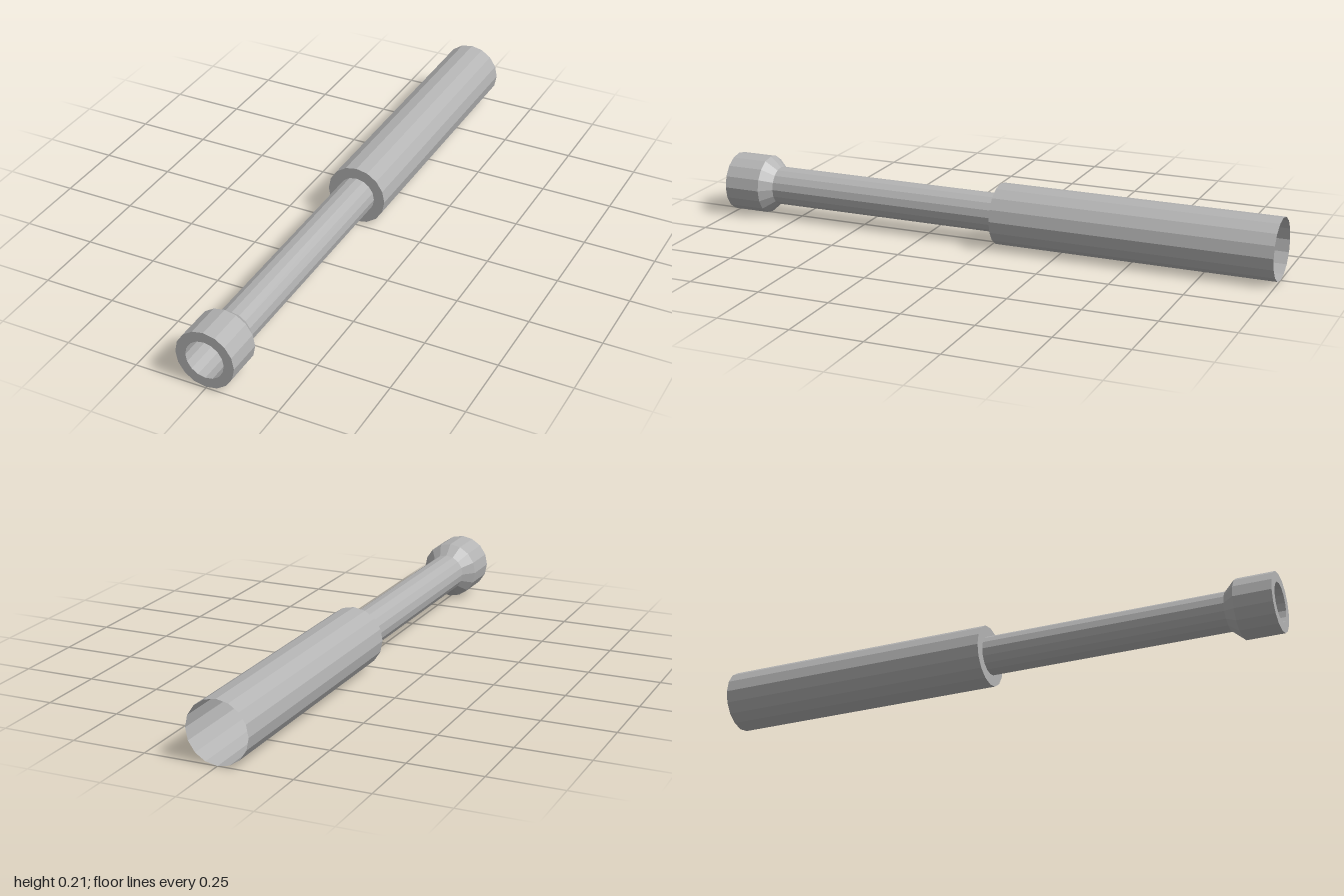
import * as THREE from 'three';

const SIDES = 16;
const CENTRE_Y = 0.106;
const SLEEVE_R = 0.106, HEAD_R = 0.102, ROD_R = 0.067;

export function createModel() {
  const group = new THREE.Group();
  const metal = new THREE.MeshStandardMaterial({ color: 0xb3b3b3 });
  metal.name = 'grey metal';
  metal.flatShading = true;
  metal.side = THREE.DoubleSide;

  // Turns a profile of [radius, z] points about the long axis
  const turned = (name, profile) => {
    const points = profile.map(([r, z]) => new THREE.Vector2(r, z));
    const geometry = new THREE.LatheGeometry(points, SIDES).rotateX(Math.PI / 2);
    const mesh = new THREE.Mesh(geometry, metal);
    mesh.name = name;
    mesh.position.y = CENTRE_Y;
    group.add(mesh);
  };

  // Hollow rear sleeve, open at the back with a shoulder at the front
  turned('sleeve', [[SLEEVE_R, -1], [SLEEVE_R, -0.02], [ROD_R, -0.02]]);

  // Slim rod between the sleeve and the head
  turned('rod', [[ROD_R, -0.02], [ROD_R, 0.83]]);

  // Tapered head, flat front rim
  turned('head', [[ROD_R, 0.83], [HEAD_R, 0.87], [HEAD_R, 1], [ROD_R, 1]]);

  // Blind bore in the head
  turned('bore', [[ROD_R, 1], [ROD_R, 0.87]]);
  const floor = new THREE.Mesh(new THREE.CircleGeometry(ROD_R, SIDES), metal);
  floor.name = 'boreFloor';
  floor.position.set(0, CENTRE_Y, 0.87);
  group.add(floor);

  return group;
}
